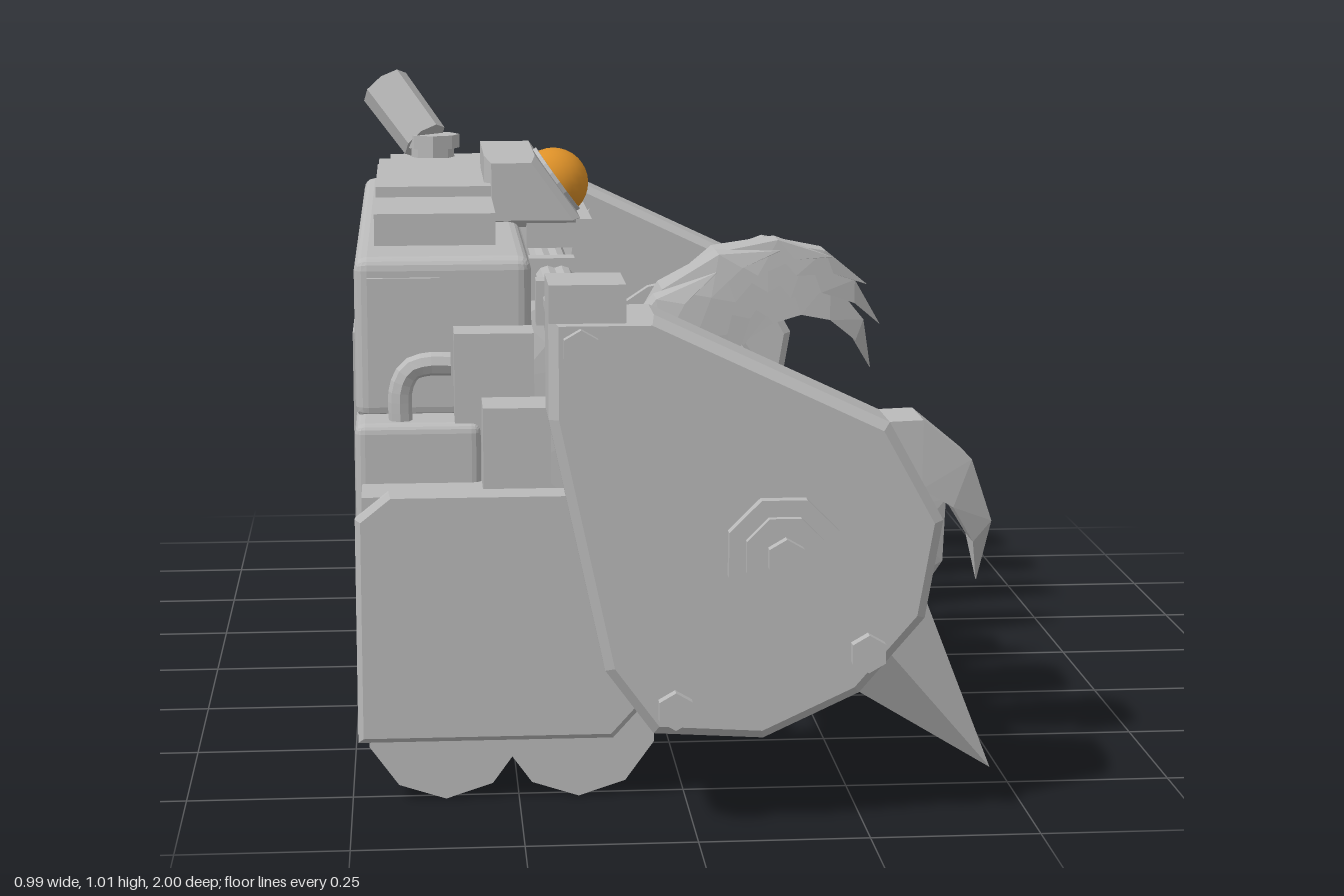
import * as THREE from 'three';
import { RoundedBoxGeometry } from 'three/addons/geometries/RoundedBoxGeometry.js';

const steel = new THREE.MeshStandardMaterial({ color: 0xbababa, flatShading: true });
steel.name = 'steelGrey';
const amber = new THREE.MeshStandardMaterial({ color: 0xdc9028 });
amber.name = 'lampAmber';

const AXIS = [0.125, 0.415]; // drum axis in x, y

export function createModel() {
  const model = new THREE.Group();

  const add = (name, geometry, x = 0, y = 0, z = 0, material = steel) => {
    const mesh = new THREE.Mesh(geometry, material);
    mesh.name = name;
    mesh.position.set(x, y, z);
    model.add(mesh);
    return mesh;
  };
  // box from its limits, with an optional rounded edge
  const box = (name, x0, x1, y0, y1, z0, z1, r = 0) => {
    const s = [x1 - x0, y1 - y0, Math.abs(z1 - z0)];
    const g = r ? new RoundedBoxGeometry(...s, 2, r) : new THREE.BoxGeometry(...s);
    return add(name, g, (x0 + x1) / 2, (y0 + y1) / 2, (z0 + z1) / 2);
  };
  // cylinder along z
  const disc = (name, x, y, z, r, depth, sides) =>
    add(name, new THREE.CylinderGeometry(r, r, depth, sides).rotateX(Math.PI / 2), x, y, z);
  // outline in x, y extruded symmetrically about z, with a chamfer inside the outline
  const plate = (name, pts, z, depth, bevel = 0) => {
    const shape = new THREE.Shape(pts.map(p => new THREE.Vector2(...p)));
    const g = new THREE.ExtrudeGeometry(shape, {
      depth: depth - 2 * bevel, bevelEnabled: bevel > 0, bevelSize: bevel,
      bevelThickness: bevel, bevelOffset: -bevel, bevelSegments: 1,
    });
    return add(name, g.translate(0, 0, bevel - depth / 2), 0, 0, z);
  };

  // rear housing
  box('lowerHousing', -0.49, -0.30, 0.1, 0.56, -0.69, 0.69, 0.015);
  box('bottomLip', -0.46, -0.285, 0.1, 0.125, -0.68, 0.68);
  box('upperHousing', -0.49, -0.22, 0.55, 0.8, -0.6, 0.6, 0.02);
  box('rearPanel', -0.499, -0.485, 0.22, 0.64, -0.3, 0.3);
  box('centreLid', -0.46, -0.27, 0.79, 0.865, -0.19, 0.19);
  for (const s of [-1, 1]) box('sideLid', -0.46, -0.27, 0.79, 0.85, s * 0.21, s * 0.45);
  box('exhaustBase', -0.44, -0.24, 0.79, 0.845, -0.47, -0.59);

  // exhaust stack
  add('exhaustCollar', new THREE.CylinderGeometry(0.05, 0.05, 0.025, 8), -0.36, 0.875, -0.53);
  add('exhaustNeck', new THREE.CylinderGeometry(0.04, 0.04, 0.06, 8), -0.36, 0.85, -0.53);
  const from = new THREE.Vector3(-0.375, 0.875, -0.535), to = new THREE.Vector3(-0.449, 0.972, -0.6);
  const dir = to.clone().sub(from);
  const stack = add('exhaustPipe', new THREE.CylinderGeometry(0.048, 0.045, dir.length(), 8),
    ...from.clone().add(to).multiplyScalar(0.5).toArray());
  stack.quaternion.setFromUnitVectors(new THREE.Vector3(0, 1, 0), dir.normalize());

  // lamp
  box('lampBracket', -0.21, -0.1, 0.755, 0.803, -0.14, 0.14);
  plate('lampHousing', [[-0.28, 0.79], [-0.12, 0.79], [-0.12, 0.805], [-0.195, 0.91], [-0.28, 0.91]], 0, 0.29, 0.012);
  const rim = add('lampRim', new THREE.CylinderGeometry(0.065, 0.065, 0.02, 20), -0.158, 0.852, 0);
  rim.rotation.z = -0.95;
  add('lamp', new THREE.SphereGeometry(0.06, 24, 16), -0.158, 0.85, 0, amber);

  // front rail with clamps
  for (const x of [-0.18, -0.157]) disc('rail', x, 0.72, 0, 0.02, 1.7, 10);
  for (const z of [-0.5, -0.23, 0.23, 0.5]) box('railClamp', -0.21, -0.135, 0.682, 0.752, z - 0.022, z + 0.022);

  // both ends
  const cover = [[-0.21, 0.76], [-0.06, 0.76], [0.28, 0.6], [0.36, 0.455], [0.335, 0.31], [0.24, 0.2],
    [0.1, 0.135], [-0.06, 0.145], [-0.13, 0.24], [-0.21, 0.61]];
  const skirt = [[-0.49, 0.1], [-0.11, 0.1], [-0.06, 0.155], [-0.06, 0.48], [-0.44, 0.48], [-0.49, 0.44]];
  for (const s of [-1, 1]) {
    // end covers of the drum
    plate('endCover', cover, s * 0.885, 0.13, 0.014);
    box('coverCap', -0.21, -0.1, 0.75, 0.805, s * 0.82, s * 0.95);
    disc('hubFlange', ...AXIS, s * 0.955, 0.086, 0.03, 8).rotation.z = Math.PI / 8;
    disc('hubRing', ...AXIS, s * 0.968, 0.06, 0.03, 8).rotation.z = Math.PI / 8;
    disc('hubNut', ...AXIS, s * 0.98, 0.029, 0.04, 6);
    for (const [x, y] of [[-0.165, 0.715], [0.25, 0.265], [-0.03, 0.185]])
      disc('coverBolt', x, y, s * 0.953, 0.028, 0.03, 6);

    // tusk at the foot of the cover
    const tusk = new THREE.ConeGeometry(0.09, 0.265, 4).translate(0, 0.1325, 0);
    tusk.scale(1, 1, 0.65);
    add('tusk', tusk, 0.276, 0.268, s * 0.88).rotation.z = Math.atan2(-0.17, -0.203);

    // side skirt, its frame and wheels
    plate('sideSkirt', skirt, s * 0.795, 0.03, 0.008);
    box('skirtBlock', -0.48, -0.23, 0.11, 0.47, s * 0.68, s * 0.79);
    box('tallBox', -0.34, -0.22, 0.47, 0.695, s * 0.6, s * 0.68);
    box('shortBox', -0.3, -0.2, 0.46, 0.6, s * 0.69, s * 0.785);
    box('endPanel', -0.47, -0.36, 0.6, 0.77, s * 0.59, s * 0.608);
    for (const x of [-0.36, -0.16]) disc('wheel', x, 0.12, s * 0.738, 0.12, 0.06, 10);

    // elbow pipe
    const path = new THREE.CatmullRomCurve3([[-0.42, 0.53], [-0.42, 0.61], [-0.405, 0.637], [-0.38, 0.645], [-0.345, 0.645]]
      .map(([x, y]) => new THREE.Vector3(x, y, s * 0.65)));
    add('elbowPipe', new THREE.TubeGeometry(path, 12, 0.018, 8));

    disc('drumRing', ...AXIS, s * 0.785, 0.155, 0.025, 16);
  }

  // drum with three curved claws on each of six stations
  disc('drum', ...AXIS, 0, 0.128, 1.66, 20);
  const claw = clawGeometry();
  for (let i = 0; i < 6; i++) {
    for (let k = 0; k < 3; k++) {
      const c = add('claw', claw, ...AXIS, 0.622 - i * 0.25);
      c.rotation.z = THREE.MathUtils.degToRad(-20 - 20 * i + 120 * k);
    }
  }
  return model;
}

// claw whose tip lies on +x, rising from the drum and bending clockwise
// [outer degrees behind tip, outer r, inner degrees, inner r, half width]
function clawGeometry() {
  const sections = [[70, 0.11, 28, 0.11, 0.05], [60, 0.21, 30, 0.195, 0.055], [49, 0.285, 27, 0.25, 0.055],
    [33, 0.334, 20, 0.298, 0.05], [16, 0.362, 10, 0.338, 0.032], [0, 0.367, 0, 0.366, 0.001]];
  const rings = sections.map(([aOut, rOut, aIn, rIn, w]) =>
    [[aOut, rOut, w], [aOut, rOut, -w], [aIn, rIn, -w], [aIn, rIn, w]].map(([deg, r, z]) => {
      const a = THREE.MathUtils.degToRad(deg);
      return [r * Math.cos(a), r * Math.sin(a), z];
    }));
  const pos = [];
  for (let i = 0; i < rings.length - 1; i++) {
    const a = rings[i], b = rings[i + 1];
    for (let j = 0; j < 4; j++) {
      const n = (j + 1) % 4;
      pos.push(...a[j], ...b[n], ...a[n], ...a[j], ...b[j], ...b[n]);
    }
  }
  const g = new THREE.BufferGeometry();
  g.setAttribute('position', new THREE.Float32BufferAttribute(pos, 3));
  g.computeVertexNormals();
  return g;
}
